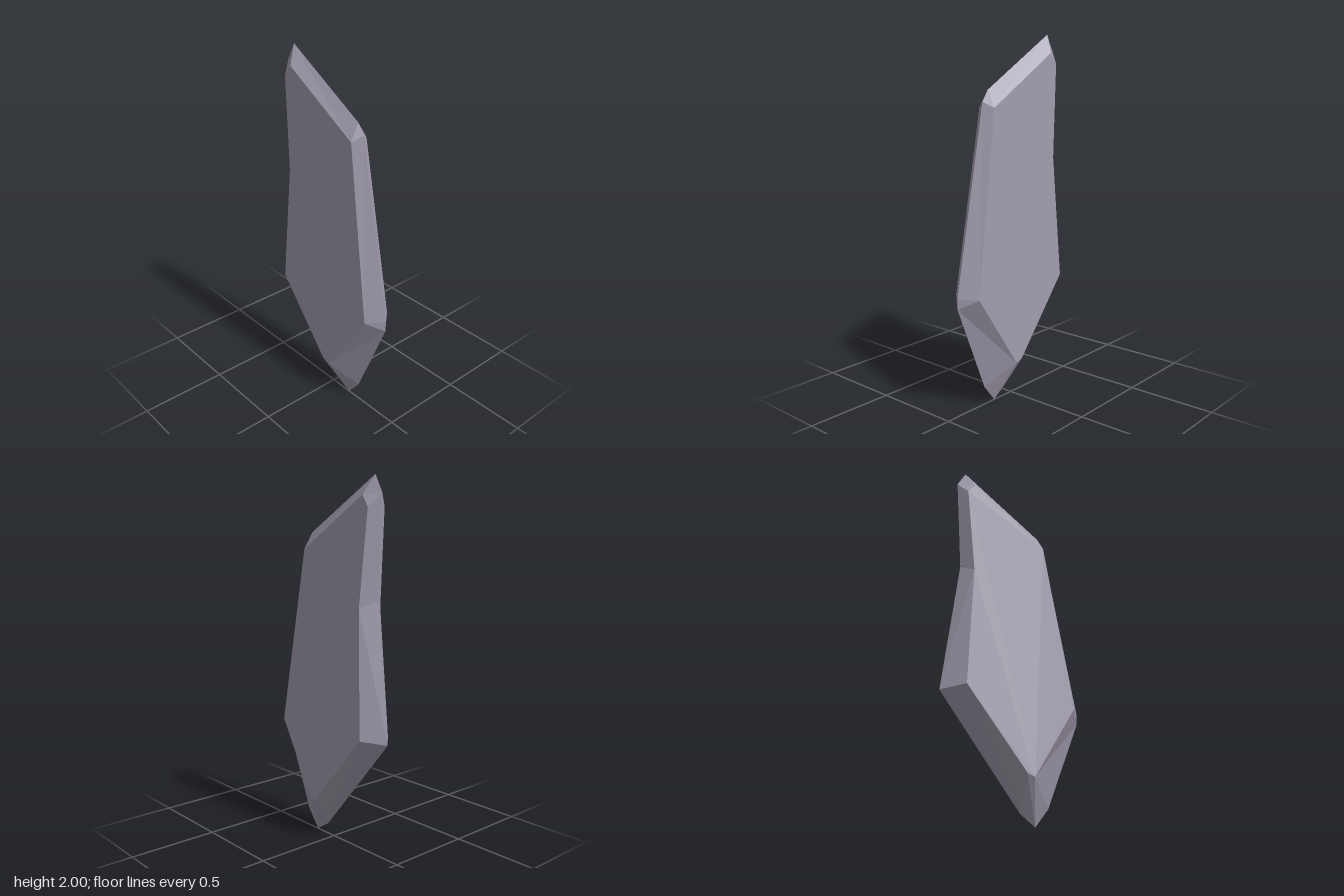
import * as THREE from 'three';

// Each row: rim point (z, y) on the centre plane, and its index in FACE
const RIM = [
  [0.14, 0, 0], [0.22, 0.1, 0], [0.42, 0.59, 1], [0.42, 0.65, 1],
  [0.22, 1.65, 2], [0.18, 1.71, 2], [-0.31, 2, 3], [-0.36, 1.91, 4],
  [-0.325, 1.37, 5], [-0.42, 0.63, 6], [0.05, 0.06, 7],
];
// Corners (z, y) of the large flat side face
const FACE = [
  [0.075, 0.225], [0.345, 0.64], [0.187, 1.62], [-0.275, 1.9],
  [-0.318, 1.84], [-0.277, 1.33], [-0.318, 0.65], [0.03, 0.24],
];

// The side faces lie on planes that taper towards the top and front
const halfWidth = (z, y) => 0.119 - 0.038 * y - 0.029 * z;

function makeMesh(name, triangles, side, material) {
  const pos = [];
  for (const [a, b, c] of triangles) {
    // Corner order is reversed on the +x side
    for (const p of side > 0 ? [a, c, b] : [a, b, c]) pos.push(p[0] * side, p[1], p[2]);
  }
  const geometry = new THREE.BufferGeometry();
  geometry.setAttribute('position', new THREE.Float32BufferAttribute(pos, 3));
  geometry.computeVertexNormals();
  const mesh = new THREE.Mesh(geometry, material);
  mesh.name = name;
  return mesh;
}

export function createModel() {
  const group = new THREE.Group();
  group.name = 'crystalShard';
  const stone = new THREE.MeshStandardMaterial({ color: 0xa09aab });
  stone.name = 'lavender grey stone';

  const rim = RIM.map(([z, y]) => [0, y, z]);
  const face = FACE.map(([z, y]) => [halfWidth(z, y), y, z]);

  // Flat side face
  const outline = FACE.map(([z, y]) => new THREE.Vector2(z, y));
  const faceTriangles = THREE.ShapeUtils.triangulateShape(outline, [])
    .map((t) => t.map((i) => face[i]));

  // Bevel band from the rim to the side face
  const bevelTriangles = [];
  RIM.forEach(([, , f], i) => {
    const j = (i + 1) % RIM.length;
    const g = RIM[j][2];
    bevelTriangles.push([rim[i], rim[j], face[f]]);
    if (f !== g) bevelTriangles.push([rim[j], face[g], face[f]]);
  });

  for (const [label, side] of [['left', 1], ['right', -1]]) {
    group.add(makeMesh(label + 'Face', faceTriangles, side, stone));
    group.add(makeMesh(label + 'Bevel', bevelTriangles, side, stone));
  }
  return group;
}
